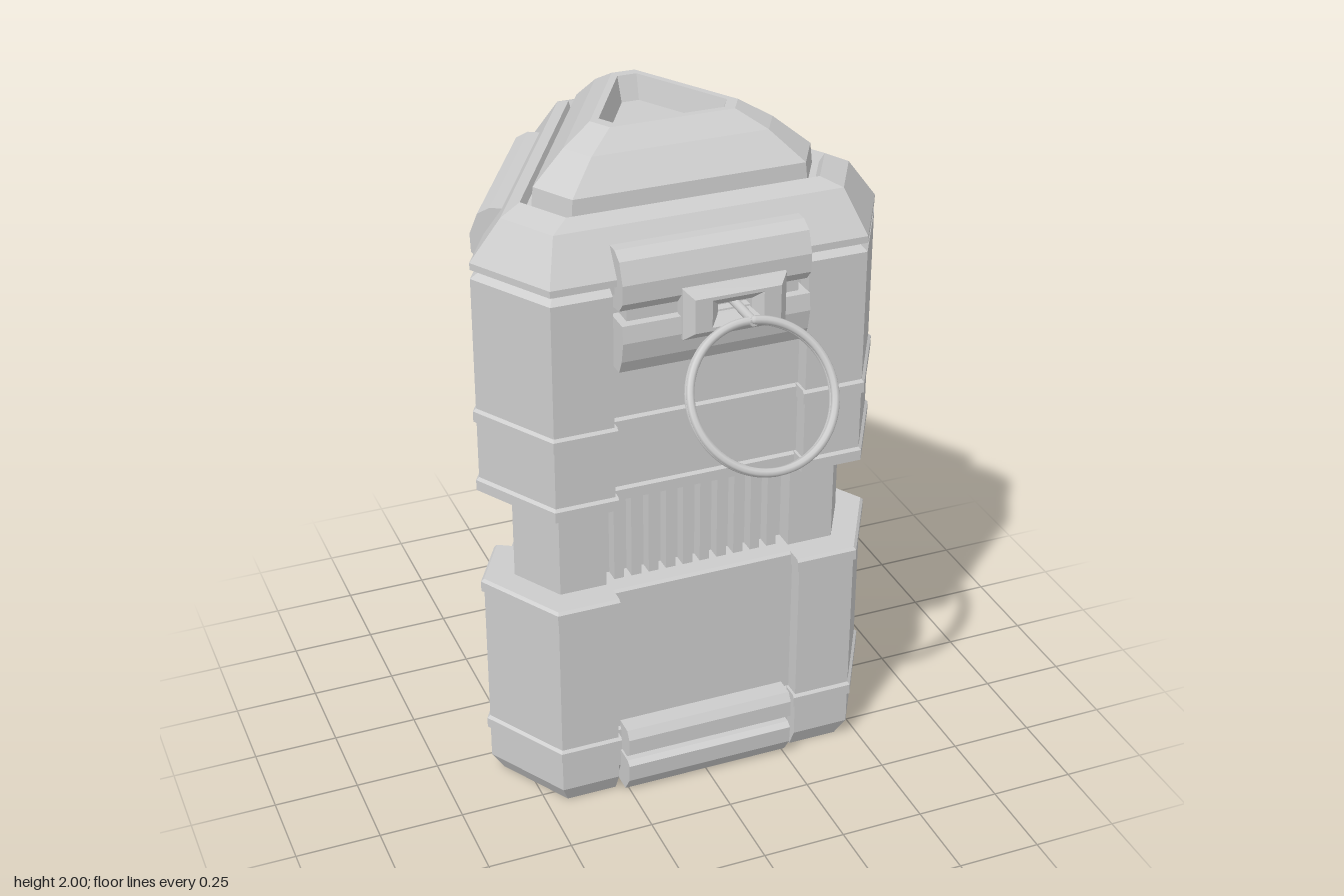
import * as THREE from 'three';

const A = 0.428, C = 0.612; // axis to long face, axis to cut-corner face
const TURN = Math.PI * 2 / 3;
const flat = new THREE.MeshStandardMaterial({ color: 0xcccccc, flatShading: true });
const smooth = new THREE.MeshStandardMaterial({ color: 0xcccccc });

function add(parent, name, geometry, material = flat) {
  const mesh = new THREE.Mesh(geometry, material);
  mesh.name = name;
  parent.add(mesh);
  return mesh;
}

// Triangle with cut corners; r is the depth of the panel recess in each long face
function outline(a, c, r, H) {
  const h = (c - 0.5 * a) / 0.866;
  const face = r ? [[-h, a], [-H, a], [-H, a - r], [H, a - r], [H, a], [h, a]] : [[-h, a], [h, a]];
  const pts = [];
  for (let k = 0; k < 3; k++) {
    const s = Math.sin(k * TURN), q = Math.cos(k * TURN);
    for (const [x, z] of face) pts.push([x * q + z * s, -x * s + z * q]);
  }
  return pts;
}

// Skin stacked outlines, each section being [y, a, c], and close both ends
function loft(sections, r = 0, H = 0.285) {
  const rings = sections.map(([y, a, c]) => outline(a, c, r, H).map(([x, z]) => [x, y, z]));
  const pos = [], n = rings[0].length;
  const tri = (...p) => p.forEach(v => pos.push(...v));
  for (let i = 0; i + 1 < rings.length; i++) {
    for (let j = 0; j < n; j++) {
      const k = (j + 1) % n, b = rings[i], t = rings[i + 1];
      tri(b[j], b[k], t[k]);
      tri(b[j], t[k], t[j]);
    }
  }
  const cap = (ring, up) => {
    const flatRing = ring.map(p => new THREE.Vector2(p[0], -p[2]));
    for (const [i, j, k] of THREE.ShapeUtils.triangulateShape(flatRing, [])) {
      if (up) tri(ring[i], ring[j], ring[k]);
      else tri(ring[k], ring[j], ring[i]);
    }
  };
  cap(rings[0], false);
  cap(rings[rings.length - 1], true);
  const g = new THREE.BufferGeometry();
  g.setAttribute('position', new THREE.Float32BufferAttribute(pos, 3));
  g.computeVertexNormals();
  return g;
}

// Profile of [distance from axis, y] points, extruded across a long face
function bar(profile, width) {
  const shape = new THREE.Shape(profile.map(p => new THREE.Vector2(...p)));
  const g = new THREE.ExtrudeGeometry(shape, { depth: width, bevelEnabled: false });
  return g.translate(0, 0, -width / 2).rotateY(-Math.PI / 2);
}

export function createModel() {
  const model = new THREE.Group();
  model.name = 'triangularCanister';
  const body = new THREE.Group();
  body.name = 'canister';
  body.position.z = -0.103;
  model.add(body);

  // Main shells and the narrow neck between them
  add(body, 'lowerBody', loft([[0, A - 0.03, C - 0.035], [0.06, A, C], [0.68, A, C]], 0.05));
  add(body, 'neck', loft([[0.66, 0.345, 0.54], [1.01, 0.345, 0.54]], 0.06, 0.285));
  add(body, 'upperBody', loft([[1.0, A, C], [1.645, A, C], [1.66, A - 0.02, C - 0.02]], 0.05));

  // Thin raised bands
  for (const y of [0.165, 0.65, 0.99, 1.21]) {
    const e = 0.008;
    add(body, 'band', loft([[y, A + e, C + e], [y + 0.032, A + e, C + e], [y + 0.04, A, C]], 0.05, 0.277));
  }

  // Chamfered lid with a groove under it and around the dome
  add(body, 'lid', loft([
    [1.64, A - 0.022, C - 0.022], [1.665, A - 0.022, C - 0.022], [1.672, A, C], [1.692, A, C],
    [1.81, 0.348, 0.537], [1.835, 0.305, 0.47], [1.81, 0.295, 0.455],
  ]));

  // Faceted dome with a sunken top
  add(body, 'dome', loft([
    [1.80, 0.28, 0.437], [1.868, 0.275, 0.43], [1.95, 0.205, 0.325], [2.0, 0.145, 0.23],
    [2.0, 0.125, 0.2], [1.93, 0.11, 0.175],
  ]));

  // Clips and neck ribs, once per long face
  const upperClip = [[0.37, 1.595], [0.44, 1.605], [0.466, 1.635], [0.468, 1.69], [0.445, 1.75], [0.41, 1.77], [0.37, 1.77]];
  const lowerClip = [[0.37, 1.42], [0.435, 1.42], [0.455, 1.46], [0.468, 1.52], [0.462, 1.57], [0.37, 1.57]];
  const footTop = [[0.36, 0.13], [0.43, 0.13], [0.452, 0.148], [0.452, 0.2], [0.435, 0.225], [0.36, 0.225]];
  const footBase = [[0.36, 0], [0.415, 0], [0.448, 0.05], [0.452, 0.105], [0.435, 0.117], [0.36, 0.117]];
  for (let k = 0; k < 3; k++) {
    const side = new THREE.Group();
    side.name = 'sideFittings';
    side.rotation.y = k * TURN;
    body.add(side);
    add(side, 'upperClip', bar(upperClip, 0.545));
    add(side, 'lowerClip', bar(lowerClip, 0.545));
    add(side, 'clipHinge', new THREE.BoxGeometry(0.5, 0.06, 0.06)).position.set(0, 1.585, 0.405);
    add(side, 'footClipTop', bar(footTop, 0.52));
    add(side, 'footClipBase', bar(footBase, 0.52));
    add(side, 'footClipHinge', new THREE.BoxGeometry(0.5, 0.04, 0.05)).position.set(0, 0.123, 0.39);
    for (let i = 0; i < 10; i++) {
      const rib = add(side, 'neckRib', new THREE.BoxGeometry(0.03, 0.32, 0.05));
      rib.position.set((i - 4.5) * 0.053, 0.84, 0.302);
    }
  }

  // Bevelled bracket with a slot, on the front clip
  const rect = (T, w, h) => new T([[-w, -h], [w, -h], [w, h], [-w, h]].map(p => new THREE.Vector2(...p)));
  const plate = rect(THREE.Shape, 0.125, 0.05);
  plate.holes.push(rect(THREE.Path, 0.075, 0.04));
  const bracket = add(model, 'pinBracket', new THREE.ExtrudeGeometry(plate, {
    depth: 0.04, bevelEnabled: true, bevelThickness: 0.025, bevelSize: 0.025, bevelSegments: 1,
  }));
  bracket.position.set(0.045, 1.58, 0.333);

  // Pin and two-turn split ring hanging from it
  const pin = add(model, 'pin', new THREE.CylinderGeometry(0.013, 0.013, 0.15, 12).rotateX(Math.PI / 2), smooth);
  pin.position.set(0.05, 1.585, 0.415);
  const coil = [];
  for (let i = 0; i <= 80; i++) {
    const t = Math.PI * (0.62 + 3.85 * i / 80);
    coil.push(new THREE.Vector3(Math.cos(t) * 0.202, Math.sin(t) * 0.202, (i / 80 - 0.5) * 0.026));
  }
  const ring = new THREE.Group();
  ring.name = 'pullRing';
  ring.position.set(0.033, 1.417, 0.59);
  ring.rotation.x = -0.598;
  model.add(ring);
  add(ring, 'ringCoil', new THREE.TubeGeometry(new THREE.CatmullRomCurve3(coil), 160, 0.012, 8), smooth);
  for (const end of [coil[0], coil[80]]) {
    add(ring, 'ringEnd', new THREE.SphereGeometry(0.012, 8, 6), smooth).position.copy(end);
  }
  return model;
}
